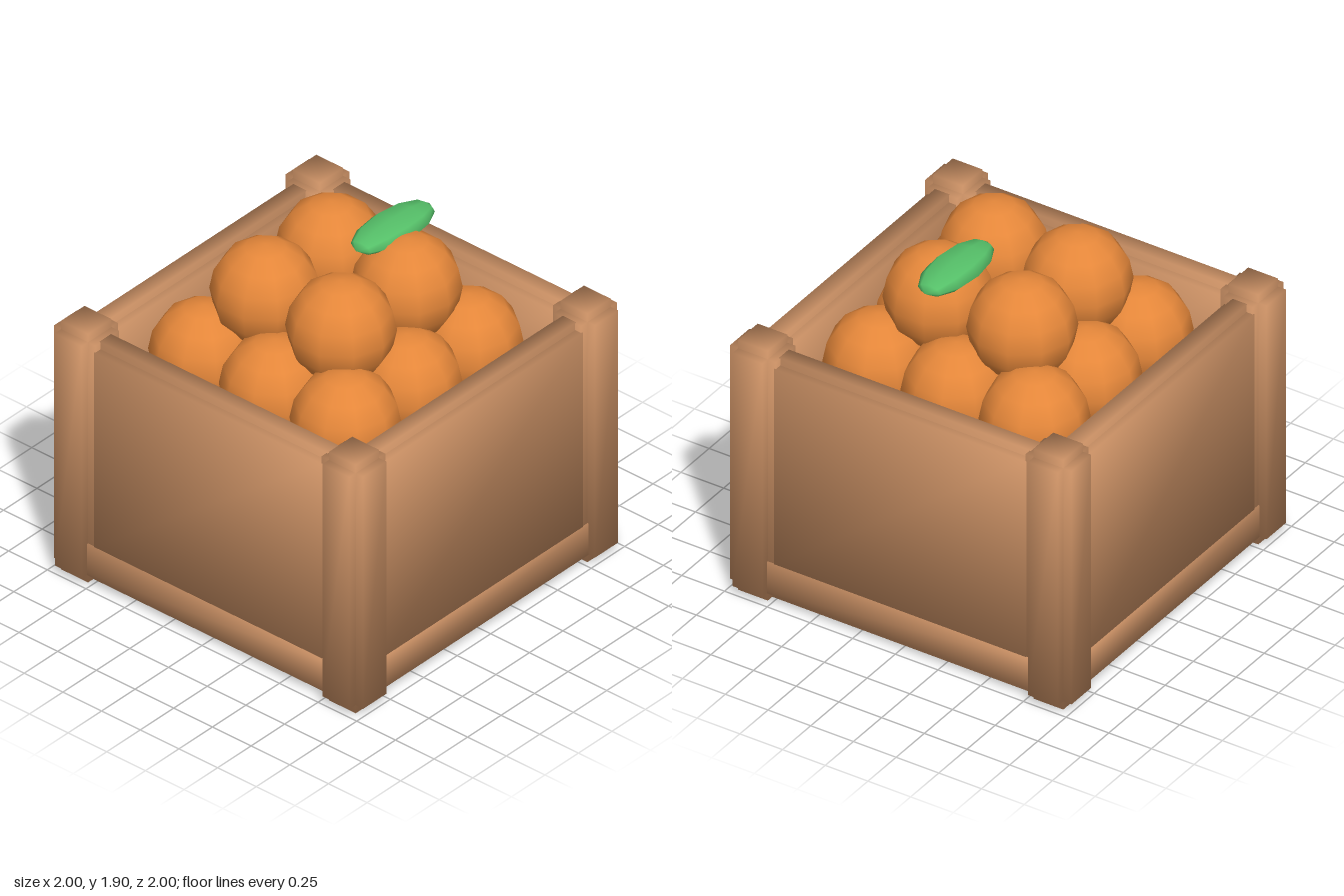
import * as THREE from 'three';

const makeMaterial = (name, color) => {
  const m = new THREE.MeshStandardMaterial({ color });
  m.name = name;
  return m;
};

// Box whose corner normals point outward diagonally, for soft shading
function softBox(w, h, d) {
  const geo = new THREE.BoxGeometry(w, h, d);
  const p = geo.attributes.position;
  const s = 1 / Math.sqrt(3);
  for (let i = 0; i < p.count; i++) {
    geo.attributes.normal.setXYZ(i, Math.sign(p.getX(i)) * s, Math.sign(p.getY(i)) * s, Math.sign(p.getZ(i)) * s);
  }
  return geo;
}

// Plank with stepped edges: three crossing boxes, each full size along one axis
function plank(name, size, step, material) {
  const group = new THREE.Group();
  group.name = name;
  for (let axis = 0; axis < 3; axis++) {
    const dims = size.map((s, i) => (i === axis ? s : s - 2 * step));
    const mesh = new THREE.Mesh(softBox(...dims), material);
    mesh.name = name + 'Core' + 'XYZ'[axis];
    group.add(mesh);
  }
  return group;
}

export function createModel() {
  const model = new THREE.Group();
  model.name = 'crateOfOranges';
  const wood = makeMaterial('wood', 0xc68d62);
  const peel = makeMaterial('orangePeel', 0xe5873a);
  const green = makeMaterial('leafGreen', 0x55bf68);

  // Crate floor
  const floor = plank('crateFloor', [1.92, 0.28, 1.92], 0.048, wood);
  floor.position.y = 0.14;
  model.add(floor);

  // Four walls
  ['frontWall', 'leftWall', 'backWall', 'rightWall'].forEach((name, i) => {
    const wall = plank(name, [1.56, 1.24, 0.172], 0.043, wood);
    const a = i * Math.PI / 2;
    wall.rotation.y = a;
    wall.position.set(Math.sin(a) * 0.871, 0.805, Math.cos(a) * 0.871);
    model.add(wall);
  });

  // Corner posts
  for (const x of [-1, 1]) {
    for (const z of [-1, 1]) {
      const post = plank('cornerPost', [0.27, 1.47, 0.27], 0.048, wood);
      post.position.set(x * 0.865, 0.735, z * 0.865);
      model.add(post);
    }
  }

  // Oranges: a three by three layer with two by two on top
  const orangeGeo = new THREE.SphereGeometry(0.275, 10, 8).rotateY(Math.PI / 2);
  const addLayer = (name, coords, y) => {
    for (const x of coords) {
      for (const z of coords) {
        const orange = new THREE.Mesh(orangeGeo, peel);
        orange.name = name;
        orange.position.set(x, y, z);
        model.add(orange);
      }
    }
  };
  addLayer('lowerOrange', [-0.457, 0, 0.457], 1.26);
  addLayer('upperOrange', [-0.245, 0.245], 1.605);

  // Leaf lying on one top orange
  const leafGeo = new THREE.SphereGeometry(1, 8, 6).rotateZ(Math.PI / 2).scale(0.275, 0.056, 0.132);
  const leaf = new THREE.Mesh(leafGeo, green);
  leaf.name = 'leaf';
  leaf.position.set(0.305, 1.848, 0.103);
  model.add(leaf);

  return model;
}
